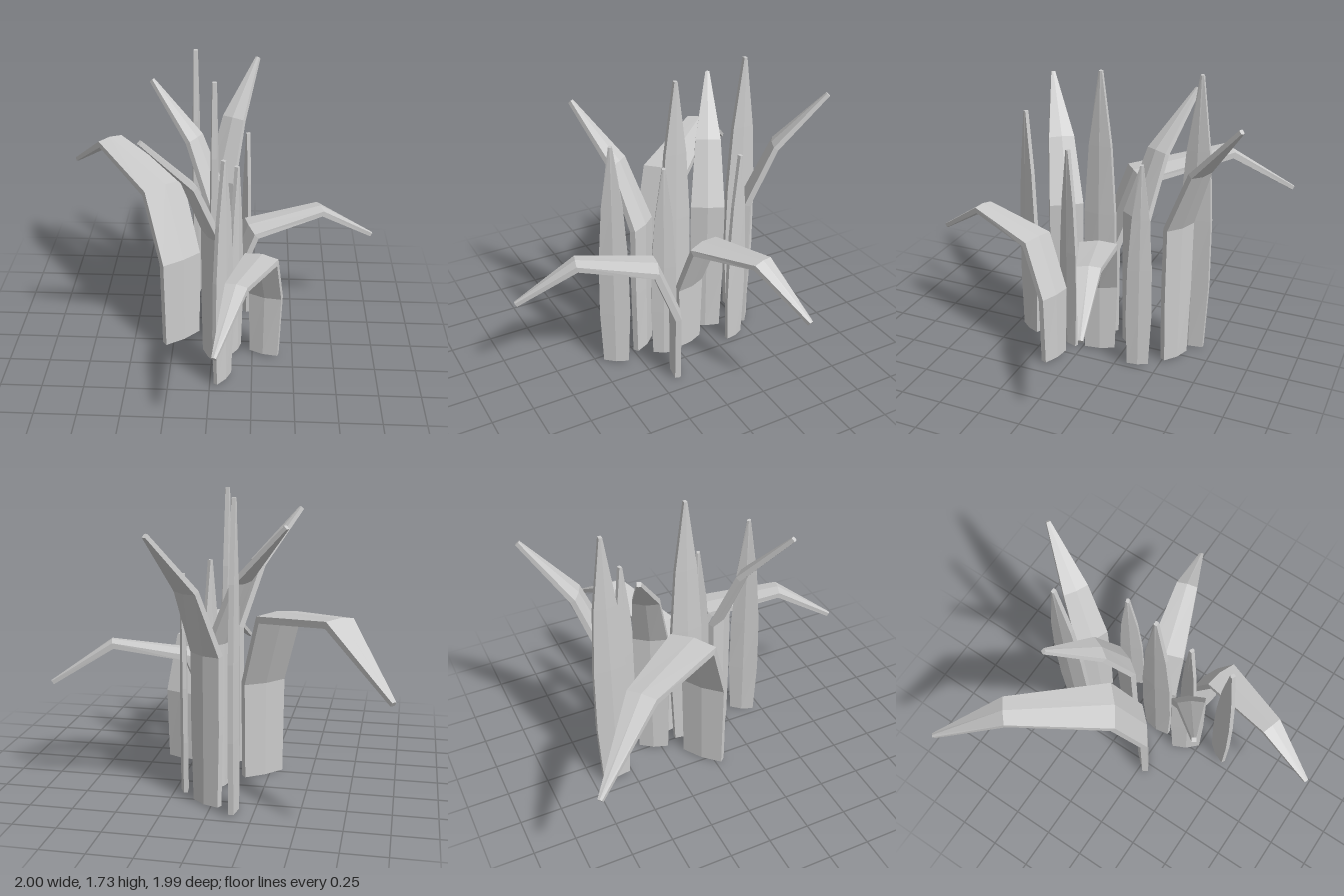
import * as THREE from 'three';

const material = new THREE.MeshStandardMaterial({ color: 0xcccccc, flatShading: true });

// Sweeps a flat six-sided section (thin edges, central ridge) along a path.
// dir: horizontal direction the blade leans; rings: [reach, y, halfWidth, edge, ridge]
function leafBlade(name, x, z, dir, rings) {
  const d = new THREE.Vector3(Math.cos(dir), 0, Math.sin(dir));
  const up = new THREE.Vector3(0, 1, 0);
  const side = new THREE.Vector3().crossVectors(d, up);
  const centres = rings.map(([r, y]) => new THREE.Vector3(x, y, z).addScaledVector(d, r));
  const last = rings.length - 1;

  const loops = rings.map(([, , w, e, t], i) => {
    const before = centres[Math.max(i, 1)].clone().sub(centres[Math.max(i, 1) - 1]).normalize();
    const j = Math.min(i, last - 1);
    const after = centres[j + 1].clone().sub(centres[j]).normalize();
    const tangent = before.clone().add(after).normalize();
    const normal = new THREE.Vector3().crossVectors(tangent, side);
    const mitre = 1 / Math.max(0.6, tangent.dot(after));
    return [[w, -e], [w, e], [0, t], [-w, e], [-w, -e], [0, -t]].map(([a, b]) =>
      centres[i].clone().addScaledVector(side, a).addScaledVector(normal, b * mitre));
  });

  const pos = [];
  const tri = (...pts) => pts.forEach((p) => pos.push(p.x, p.y, p.z));
  for (let i = 0; i < last; i++) {
    for (let k = 0; k < 6; k++) {
      const n = (k + 1) % 6;
      tri(loops[i][k], loops[i][n], loops[i + 1][n]);
      tri(loops[i][k], loops[i + 1][n], loops[i + 1][k]);
    }
  }
  // End caps
  for (let k = 1; k < 5; k++) {
    tri(loops[0][0], loops[0][k + 1], loops[0][k]);
    tri(loops[last][0], loops[last][k], loops[last][k + 1]);
  }
  const geometry = new THREE.BufferGeometry();
  geometry.setAttribute('position', new THREE.Float32BufferAttribute(pos, 3));
  geometry.computeVertexNormals();
  const mesh = new THREE.Mesh(geometry, material);
  mesh.name = name;
  return mesh;
}

export function createModel() {
  const group = new THREE.Group();
  group.name = 'grassTuft';

  // Drooping blades: rise, fold outward, then hang at the tip
  const droop = (name, x, z, dir, base, s, heights, reach, widths) =>
    group.add(leafBlade(name, x, z, dir, [
      [0, base, widths[0], 0.017 * s, 0.03 * s],
      [0, heights[0], widths[1], 0.017 * s, 0.03 * s],
      [reach[0], heights[1], widths[2], 0.017 * s, 0.03 * s],
      [reach[1], heights[2], widths[3], 0.016 * s, 0.025 * s],
      [reach[2], heights[3], 0.013, 0.012, 0.015],
    ]));
  droop('droopingBladeLarge', -0.205, -0.035, Math.atan2(-0.955, -0.785), 0.005, 1.15,
    [0.59, 1.01, 1.1, 0.8], [0.168, 0.765, 1.23], [0.13, 0.137, 0.14, 0.086]);
  droop('droopingBladeRight', 0.11, -0.1, Math.atan2(-0.265, 0.88), 0.015, 1,
    [0.44, 0.76, 0.835, 0.61], [0.125, 0.56, 0.915], [0.09, 0.102, 0.11, 0.066]);
  droop('droopingBladeFront', 0.325, 0.112, Math.atan2(0.878, -0.275), 0.015, 1,
    [0.44, 0.76, 0.835, 0.61], [0.125, 0.565, 0.915], [0.09, 0.102, 0.102, 0.064]);

  // Leaning blades: upright stems that flare outward
  const lean = (name, x, z, tipX, tipZ) => {
    const reach = Math.hypot(tipX - x, tipZ - z);
    group.add(leafBlade(name, x, z, Math.atan2(tipZ - z, tipX - x), [
      [0, 0.015, 0.09, 0.017, 0.032],
      [0, 0.44, 0.102, 0.017, 0.032],
      [0, 0.88, 0.102, 0.017, 0.032],
      [0.155, 1.25, 0.076, 0.016, 0.026],
      [reach, 1.57, 0.012, 0.012, 0.014],
    ]));
  };
  lean('leaningBladeBack', 0.025, -0.55, 0.245, -0.935);
  lean('leaningBladeLeftBack', 0.005, -0.285, -0.395, -0.5);
  lean('leaningBladeLeftFront', 0.005, 0.168, -0.365, 0.42);

  // Straight blades: [x, z, facing, height, halfWidth]
  [
    [-0.135, -0.6, 0, 1.73, 0.102],
    [0.005, -0.055, 0, 1.73, 0.102],
    [0.195, -0.38, -0.3, 1.285, 0.075],
    [0.14, 0.09, 0.46, 1.285, 0.077],
    [0.075, 0.385, 0.56, 1.46, 0.09],
  ].forEach(([x, z, dir, h, w], i) => {
    const s = h / 1.73;
    group.add(leafBlade('straightBlade' + (i + 1), x, z, dir, [
      [0, 0.015, w * 0.84, 0.015 * s, 0.029 * s],
      [0, h * 0.25, w, 0.015 * s, 0.029 * s],
      [0, h * 0.5, w * 0.94, 0.015 * s, 0.029 * s],
      [0, h * 0.745, w * 0.67, 0.014 * s, 0.023 * s],
      [0, h, 0.01, 0.011, 0.014],
    ]));
  });
  return group;
}
